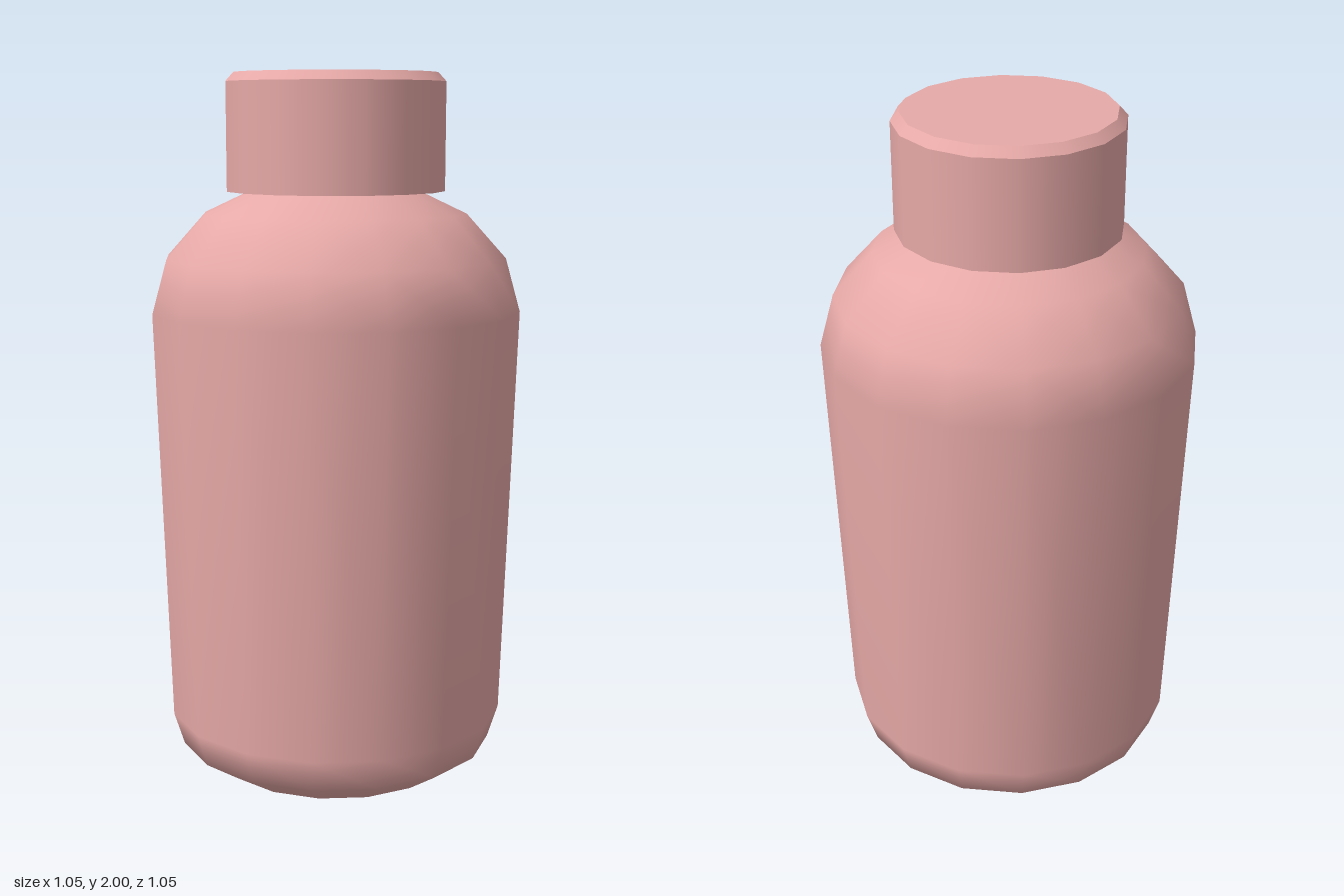
import * as THREE from 'three';

const SIDES = 16;

export function createModel() {
  const model = new THREE.Group();
  const material = new THREE.MeshStandardMaterial({ color: 0xe6a9a7 });

  // Each run of [radius, height] points is smooth; edges between runs stay sharp.
  function turned(name, runs) {
    const part = new THREE.Group();
    part.name = name;
    for (const [label, points] of Object.entries(runs)) {
      const profile = points.map(([r, y]) => new THREE.Vector2(r, y));
      const mesh = new THREE.Mesh(new THREE.LatheGeometry(profile, SIDES), material);
      mesh.name = label;
      part.add(mesh);
    }
    model.add(part);
  }

  // Tapered body with a rounded foot and shoulder, running up into the cap
  turned('bottle', {
    base: [[0, 0], [0.35, 0]],
    body: [[0.35, 0], [0.457, 0.07], [0.487, 0.165], [0.525, 1.34],
      [0.483, 1.49], [0.372, 1.613], [0.24, 1.675]],
    neck: [[0.24, 1.675], [0.24, 1.7]],
  });

  // Screw cap with a chamfered rim
  turned('cap', {
    capUnderside: [[0, 1.675], [0.31, 1.675]],
    capSide: [[0.31, 1.675], [0.31, 1.975]],
    capChamfer: [[0.31, 1.975], [0.287, 2]],
    capTop: [[0.287, 2], [0, 2]],
  });

  return model;
}
